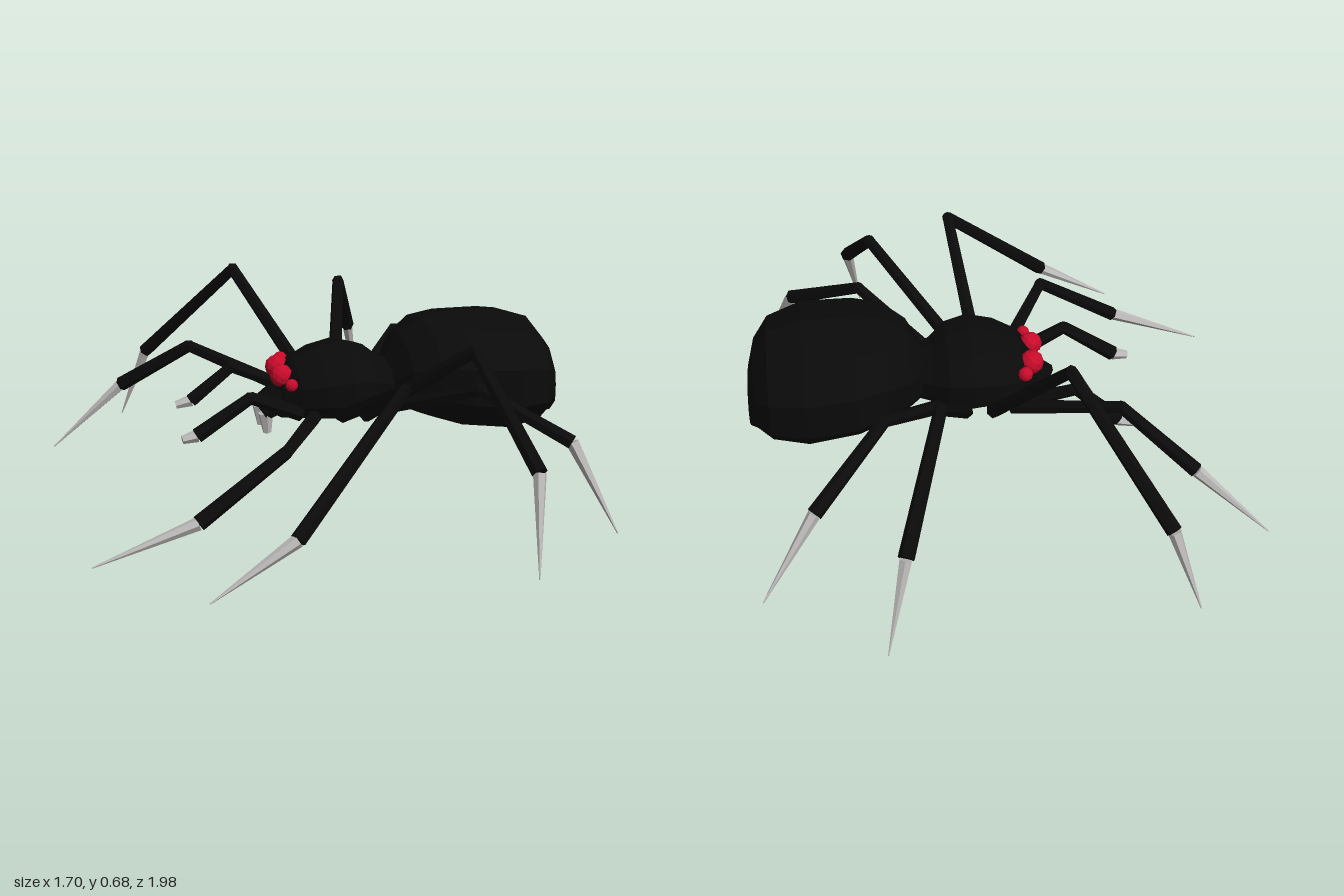
import * as THREE from 'three';

const black = new THREE.MeshStandardMaterial({ color: 0x0a0a0a, flatShading: true });
black.name = 'shell black';
const grey = new THREE.MeshStandardMaterial({ color: 0xbcbab8, flatShading: true });
grey.name = 'claw grey';
const red = new THREE.MeshStandardMaterial({ color: 0xc80a2a, flatShading: true });
red.name = 'eye red';

// Closed faceted body from rings [x, centreY, radiusY, radiusZ]
function loft(name, rings, sides = 10) {
  const pos = [];
  const point = ([x, cy, ry, rz], j) => {
    const t = ((j + 0.5) / sides) * Math.PI * 2;
    const k = 1 / Math.cos(Math.PI / sides);
    return [x, cy + Math.sin(t) * ry, Math.cos(t) * rz * k];
  };
  const first = rings[0], last = rings[rings.length - 1];
  for (let j = 0; j < sides; j++) {
    for (let i = 0; i < rings.length - 1; i++) {
      const a = point(rings[i], j), b = point(rings[i + 1], j);
      const c = point(rings[i + 1], j + 1), d = point(rings[i], j + 1);
      pos.push(...a, ...b, ...c, ...a, ...c, ...d);
    }
    pos.push(first[0], first[1], 0, ...point(first, j), ...point(first, j + 1));
    pos.push(last[0], last[1], 0, ...point(last, j + 1), ...point(last, j));
  }
  const geo = new THREE.BufferGeometry();
  geo.setAttribute('position', new THREE.Float32BufferAttribute(pos, 3));
  geo.computeVertexNormals();
  const mesh = new THREE.Mesh(geo, black);
  mesh.name = name;
  return mesh;
}

// Tapered rod between two points
function rod(name, from, to, r0, r1, material) {
  const a = new THREE.Vector3(...from), b = new THREE.Vector3(...to);
  const dir = b.clone().sub(a);
  const mesh = new THREE.Mesh(new THREE.CylinderGeometry(r1, r0, dir.length(), 6), material);
  mesh.position.copy(a).add(b).multiplyScalar(0.5);
  mesh.quaternion.setFromUnitVectors(new THREE.Vector3(0, 1, 0), dir.normalize());
  mesh.name = name;
  return mesh;
}

function joint(p, r) {
  const mesh = new THREE.Mesh(new THREE.IcosahedronGeometry(r, 0), black);
  mesh.position.set(...p);
  mesh.name = 'joint';
  return mesh;
}

// Upper and lower segment plus a claw; points are [root, knee, ankle, tip]
function limb(name, [root, knee, ankle, tip], tipRadius) {
  const g = new THREE.Group();
  g.name = name;
  g.add(
    rod('upperSegment', root, knee, 0.026, 0.021, black),
    joint(knee, 0.023),
    rod('lowerSegment', knee, ankle, 0.021, 0.026, black),
    rod('claw', ankle, tip, 0.022, tipRadius, grey),
  );
  return g;
}

export function createModel() {
  const model = new THREE.Group();
  model.name = 'spider';

  // Body
  model.add(loft('abdomen', [
    [0.24, 0.34, 0.07, 0.08],
    [0.30, 0.38, 0.13, 0.18],
    [0.38, 0.39, 0.175, 0.245],
    [0.48, 0.38, 0.20, 0.28],
    [0.65, 0.367, 0.212, 0.29],
    [0.77, 0.355, 0.185, 0.245],
    [0.82, 0.335, 0.14, 0.17],
    [0.845, 0.285, 0.09, 0.12],
  ]));
  model.add(loft('head', [
    [-0.13, 0.315, 0.07, 0.10],
    [-0.08, 0.345, 0.10, 0.15],
    [0.0, 0.36, 0.12, 0.195],
    [0.09, 0.367, 0.133, 0.21],
    [0.17, 0.36, 0.12, 0.19],
    [0.22, 0.345, 0.095, 0.14],
    [0.28, 0.335, 0.08, 0.09],
  ]));

  // Legs
  const legs = {
    leftFirstLeg: [[-0.04, 0.28, 0.15], [-0.23, 0.31, 0.54], [-0.52, 0.12, 0.585], [-0.85, 0, 0.565]],
    leftSecondLeg: [[0.05, 0.29, 0.18], [0.10, 0.53, 0.69], [-0.28, 0.16, 0.88], [-0.55, 0, 0.905]],
    leftThirdLeg: [[0.12, 0.29, 0.20], [0.40, 0.575, 0.485], [0.48, 0.29, 0.86], [0.44, 0, 0.99]],
    leftFourthLeg: [[0.19, 0.29, 0.14], [0.45, 0.42, 0.42], [0.70, 0.28, 0.60], [0.82, 0, 0.72]],
    rightFirstLeg: [[-0.04, 0.28, -0.16], [-0.37, 0.41, -0.37], [-0.60, 0.24, -0.515], [-0.85, 0, -0.57]],
    rightSecondLeg: [[0.03, 0.29, -0.19], [-0.18, 0.655, -0.49], [-0.46, 0.27, -0.83], [-0.55, 0, -0.90]],
    rightThirdLeg: [[0.12, 0.29, -0.18], [0.23, 0.575, -0.53], [0.37, 0.30, -0.89], [0.44, 0, -0.99]],
    rightFourthLeg: [[0.19, 0.29, -0.14], [0.40, 0.42, -0.37], [0.64, 0.25, -0.60], [0.82, 0, -0.72]],
  };
  for (const [name, path] of Object.entries(legs)) model.add(limb(name, path, 0.002));

  // Feelers beside the mouth
  model.add(limb('leftFeeler',
    [[-0.08, 0.29, 0.13], [-0.26, 0.37, 0.16], [-0.44, 0.25, 0.148], [-0.49, 0.24, 0.15]], 0.014));
  model.add(limb('rightFeeler',
    [[-0.06, 0.30, -0.16], [-0.25, 0.37, -0.205], [-0.39, 0.25, -0.23], [-0.445, 0.235, -0.235]], 0.014));

  // Jaws and fangs
  for (const [side, z] of [['left', 0.03], ['right', -0.06]]) {
    model.add(rod(side + 'Jaw', [-0.09, 0.33, z], [-0.19, 0.27, z], 0.045, 0.03, black));
    model.add(rod(side + 'Fang', [-0.18, 0.27, z], [-0.175, 0.2, z], 0.027, 0.015, grey));
  }

  // Eyes
  for (const [x, y, z, r] of [
    [-0.115, 0.40, -0.075, 0.042], [-0.125, 0.40, 0.035, 0.04],
    [-0.085, 0.405, -0.15, 0.025], [-0.11, 0.39, 0.12, 0.022],
  ]) {
    const eye = new THREE.Mesh(new THREE.IcosahedronGeometry(r, 1), red);
    eye.position.set(x, y, z);
    eye.name = 'eye';
    model.add(eye);
  }
  return model;
}
